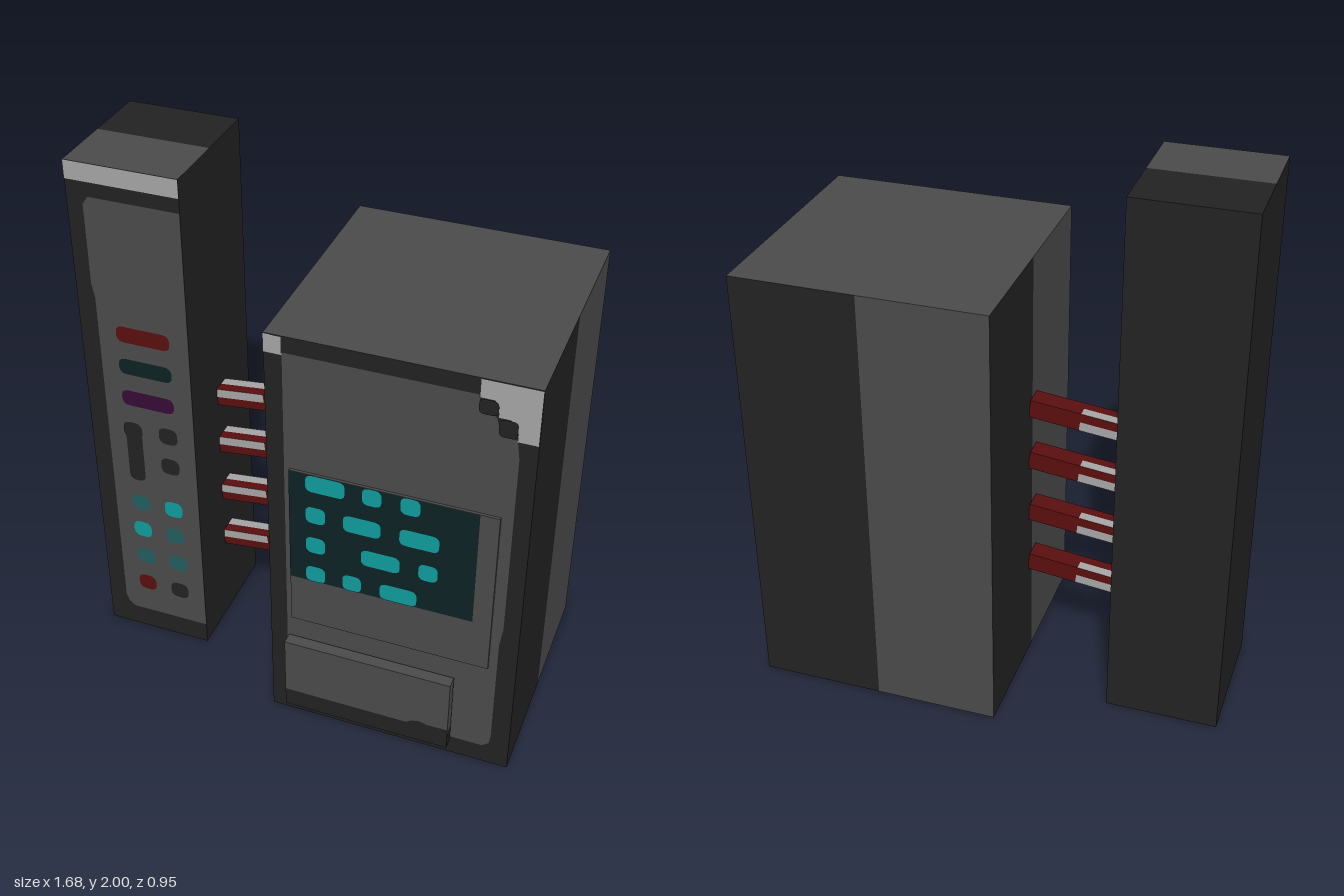
import * as THREE from 'three';

const mat = (name, color) => {
  const m = new THREE.MeshStandardMaterial({ color });
  m.name = name;
  return m;
};

export function createModel() {
  const dark = mat('charcoal', 0x222222), grey = mat('grey', 0x4a4a4a);
  const light = mat('pale grey', 0xa5a5a5), red = mat('dark red', 0x5a0e0e);
  const cyan = mat('cyan', 0x0f9b9b), navy = mat('deep teal', 0x0c2224);
  const teal = mat('dim teal', 0x225c5e), purple = mat('purple', 0x360c36);
  const model = new THREE.Group();

  const add = (parent, name, geometry, material) => {
    const mesh = new THREE.Mesh(geometry, material);
    mesh.name = name;
    parent.add(mesh);
    return mesh;
  };
  const group = (name) => {
    const g = new THREE.Group();
    g.name = name;
    model.add(g);
    return g;
  };

  // Box given by its limits; each digit of the pattern picks a material for one face cell
  const box = (parent, name, [x0, x1], [y0, y1], [z0, z1], materials, segs = [1, 1, 1], pattern = '') => {
    const g = new THREE.BoxGeometry(x1 - x0, y1 - y0, z1 - z0, ...segs);
    if (pattern) {
      g.clearGroups();
      [...pattern].forEach((c, i) => g.addGroup(i * 6, 6, Number(c)));
    }
    const mesh = add(parent, name, g, materials);
    mesh.position.set((x0 + x1) / 2, (y0 + y1) / 2, (z0 + z1) / 2);
    return mesh;
  };

  // Flat painted face at depth z, from outline points
  const face = (parent, name, points, z, material) => {
    const shape = new THREE.Shape(points.map(([x, y]) => new THREE.Vector2(x, y)));
    add(parent, name, new THREE.ShapeGeometry(shape), material).position.z = z;
  };
  const rect = (parent, name, x0, x1, y0, y1, z, material) =>
    face(parent, name, [[x0, y0], [x1, y0], [x1, y1], [x0, y1]], z, material);

  // Rounded painted patch
  const pill = (parent, name, x0, x1, y0, y1, z, material, r = 0.024) => {
    const pts = [];
    [[x1 - r, y1 - r], [x0 + r, y1 - r], [x0 + r, y0 + r], [x1 - r, y0 + r]].forEach(([cx, cy], i) => {
      for (let k = 0; k <= 3; k++) {
        const a = (i + k / 3) * Math.PI / 2;
        pts.push([cx + r * Math.cos(a), cy + r * Math.sin(a)]);
      }
    });
    face(parent, name, pts, z, material);
  };

  // Control tower
  const tower = group('controlTower');
  box(tower, 'towerBody', [-0.84, -0.43], [0, 2], [-0.27, 0.212], [dark, grey],
    [2, 1, 2], '00' + '00' + '0011' + '0000' + '00' + '00');
  rect(tower, 'towerTopTrim', -0.84, -0.43, 1.933, 2, 0.214, light);
  face(tower, 'towerPanel', [[-0.43, 0.09], [-0.43, 1.88], [-0.76, 1.88], [-0.78, 1.85],
    [-0.78, 1.55], [-0.77, 1.5], [-0.77, 0.14], [-0.76, 0.11], [-0.735, 0.09]], 0.214, grey);

  // Indicator bars, slider and round buttons
  const tz = 0.216;
  [[1.37, red], [1.238, navy], [1.105, purple]].forEach(([y, m]) =>
    pill(tower, 'indicatorBar', -0.702, -0.5, y - 0.032, y + 0.032, tz, m));
  pill(tower, 'sliderTrack', -0.7, -0.637, 0.737, 0.97, tz, dark);
  pill(tower, 'sliderKnob', -0.706, -0.633, 0.93, 1.0, tz + 0.002, dark);
  [[-0.532, 0.97, dark], [-0.532, 0.835, dark], [-0.665, 0.632, teal], [-0.532, 0.635, cyan],
    [-0.668, 0.503, cyan], [-0.535, 0.507, teal], [-0.665, 0.372, teal], [-0.532, 0.372, teal],
    [-0.668, 0.236, red], [-0.532, 0.236, dark]].forEach(([x, y, m]) =>
    pill(tower, 'button', x - 0.036, x + 0.036, y - 0.035, y + 0.035, tz, m));

  // Main cabinet
  const cabinet = group('cabinet');
  box(cabinet, 'cabinetBody', [-0.063, 0.837], [0, 1.64], [-0.473, 0.418], [dark, grey],
    [2, 1, 2], '01' + '01' + '1111' + '0101' + '00' + '01');
  face(cabinet, 'frontPanel', [[0.005, 0.15], [0.02, 0.08], [0.74, 0.08], [0.765, 0.1], [0.77, 0.14],
    [0.77, 0.58], [0.78, 0.66], [0.78, 1.37], [0.77, 1.44], [0.715, 1.46], [0.7, 1.51],
    [0.65, 1.53], [0.64, 1.58], [0, 1.58], [0, 0.36]], 0.42, grey);
  rect(cabinet, 'cornerTrim', -0.063, 0, 1.57, 1.64, 0.422, light);
  face(cabinet, 'cornerTrim', [[0.837, 1.435], [0.837, 1.64], [0.643, 1.64], [0.643, 1.57],
    [0.69, 1.57], [0.705, 1.55], [0.705, 1.51], [0.745, 1.51], [0.77, 1.48], [0.77, 1.435]], 0.422, light);
  pill(cabinet, 'cornerNotch', 0.643, 0.705, 1.515, 1.57, 0.424, dark, 0.015);
  pill(cabinet, 'cornerNotch', 0.71, 0.77, 1.445, 1.51, 0.424, dark, 0.015);

  // Screen with rows of lit patches
  box(cabinet, 'screenPlate', [0.02, 0.74], [0.47, 1.13], [0.418, 0.43], grey);
  rect(cabinet, 'screen', 0.02, 0.675, 0.67, 1.13, 0.432, navy);
  [[1.062, [[0.08, 0.218], [0.278, 0.345], [0.41, 0.478]]],
    [0.93, [[0.08, 0.15], [0.213, 0.345], [0.41, 0.547]]],
    [0.8, [[0.08, 0.15], [0.278, 0.415], [0.48, 0.547]]],
    [0.67, [[0.08, 0.15], [0.213, 0.28], [0.347, 0.478]]]].forEach(([y, spans]) =>
    spans.forEach(([a, b]) => pill(cabinet, 'screenLight', a, b, y, y + 0.068, 0.434, cyan, 0.02)));

  // Drawer with a dark lower lip
  box(cabinet, 'drawer', [0.01, 0.625], [0.152, 0.385], [0.43, 0.474], grey);
  box(cabinet, 'drawerLip', [0.01, 0.625], [0.077, 0.152], [0.43, 0.474], dark);
  face(cabinet, 'drawerScuff', [[0.47, 0.152], [0.625, 0.152], [0.625, 0.168], [0.55, 0.166],
    [0.52, 0.175], [0.49, 0.166]], 0.475, dark);

  // Sloping connector bars
  const connectors = group('connectors');
  [1.055, 0.842, 0.618, 0.396].forEach((y) => {
    const bar = box(connectors, 'connectorBar', [-0.432, -0.062], [y - 0.034, y + 0.034], [-0.065, 0.01],
      [red, light], [2, 2, 2], '0000' + '0000' + '1000' + '1000' + '1000' + '0001');
    bar.rotation.z = 0.11;
  });

  return model;
}
